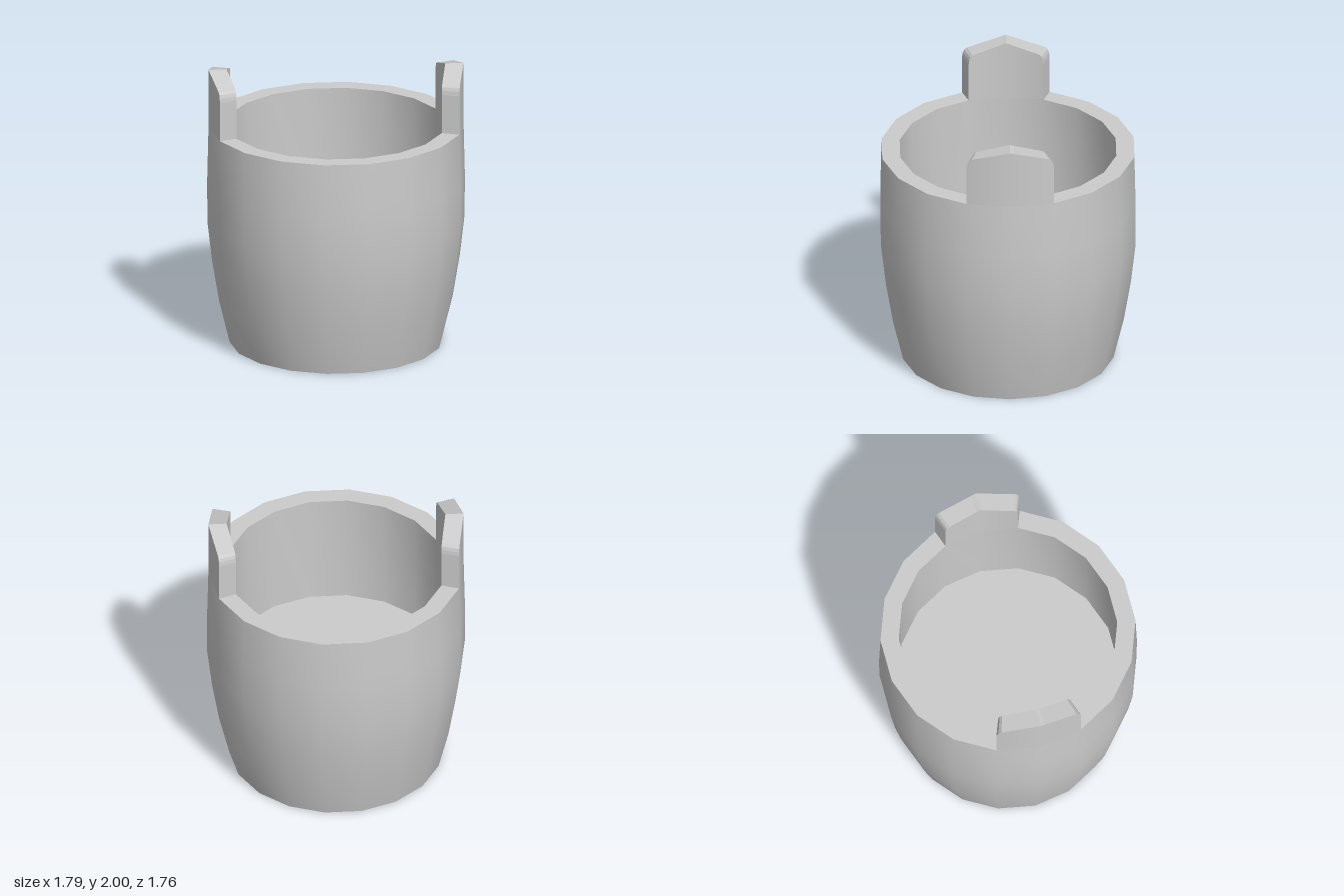
import * as THREE from 'three';
import { toCreasedNormals } from 'three/addons/utils/BufferGeometryUtils.js';

const SIDES = 18, STEP = (Math.PI * 2) / SIDES;
const RIM_Y = 1.58, OUTER = 0.887, INNER = 0.76;

// Closed section of the pail: recessed underside, bulging wall, rim, inner wall, floor
function pailGeometry() {
  const section = [
    [0, 0.115], [0.63, 0.115], [0.63, 0], [0.74, 0],
    [0.812, 0.3], [0.862, 0.6], [0.895, 0.89], [0.896, 1.2], [OUTER, RIM_Y],
    [INNER, RIM_Y], [0.765, 0.75], [0, 0.75],
  ].map(([r, y]) => new THREE.Vector2(r, y));
  const lathe = new THREE.LatheGeometry(section, SIDES, Math.PI / 2);
  return toCreasedNormals(lathe, THREE.MathUtils.degToRad(35));
}

// Raised ear over two wall facets at +x, with a peaked top and softened shoulders
function earGeometry() {
  const half = [[1, 1.86], [0.985, 1.89], [0.955, 1.912], [0.89, 1.928], [0.1, 1.992], [0, 2]];
  const outline = [...half.map(([s, y]) => [-s, y]), ...half.slice(0, -1).reverse()];
  const pos = [], nor = [];

  // point on a facet of the wall, s = -1..1 across the ear
  const at = (r, s, y) => {
    const k = Math.abs(s);
    return new THREE.Vector3(
      r * (1 - k + k * Math.cos(STEP)), y, r * s * Math.sin(STEP));
  };
  const radial = (s, sign) =>
    new THREE.Vector3(Math.cos(s * STEP), 0, Math.sin(s * STEP)).multiplyScalar(sign);
  const quad = (p, n) => {
    const flat = new THREE.Vector3().crossVectors(
      p[1].clone().sub(p[0]), p[2].clone().sub(p[0])).normalize();
    for (const i of [0, 1, 2, 0, 2, 3]) {
      pos.push(...p[i].toArray());
      nor.push(...(n ? n[i] : flat).toArray());
    }
  };

  for (let i = 0; i < outline.length - 1; i++) {
    const [a, ya] = outline[i], [b, yb] = outline[i + 1];
    // outer face
    quad([at(OUTER, a, RIM_Y), at(OUTER, a, ya), at(OUTER, b, yb), at(OUTER, b, RIM_Y)],
      [radial(a, 1), radial(a, 1), radial(b, 1), radial(b, 1)]);
    // inner face
    quad([at(INNER, b, RIM_Y), at(INNER, b, yb), at(INNER, a, ya), at(INNER, a, RIM_Y)],
      [radial(b, -1), radial(b, -1), radial(a, -1), radial(a, -1)]);
    // top edge
    quad([at(OUTER, a, ya), at(INNER, a, ya), at(INNER, b, yb), at(OUTER, b, yb)]);
  }

  // upright end faces
  const y = outline[0][1];
  quad([at(OUTER, -1, RIM_Y), at(INNER, -1, RIM_Y), at(INNER, -1, y), at(OUTER, -1, y)]);
  quad([at(OUTER, 1, y), at(INNER, 1, y), at(INNER, 1, RIM_Y), at(OUTER, 1, RIM_Y)]);

  const geo = new THREE.BufferGeometry();
  geo.setAttribute('position', new THREE.Float32BufferAttribute(pos, 3));
  geo.setAttribute('normal', new THREE.Float32BufferAttribute(nor, 3));
  return geo;
}

export function createModel() {
  const model = new THREE.Group();
  model.name = 'bucket';
  const material = new THREE.MeshStandardMaterial({ color: 0xcccccc, side: THREE.DoubleSide });

  const pail = new THREE.Mesh(pailGeometry(), material);
  pail.name = 'pail';
  model.add(pail);

  // one handle ear on each side
  const ear = earGeometry();
  [['leftEar', 0], ['rightEar', Math.PI]].forEach(([name, turn]) => {
    const mesh = new THREE.Mesh(ear, material);
    mesh.name = name;
    mesh.rotation.y = turn;
    model.add(mesh);
  });
  return model;
}
